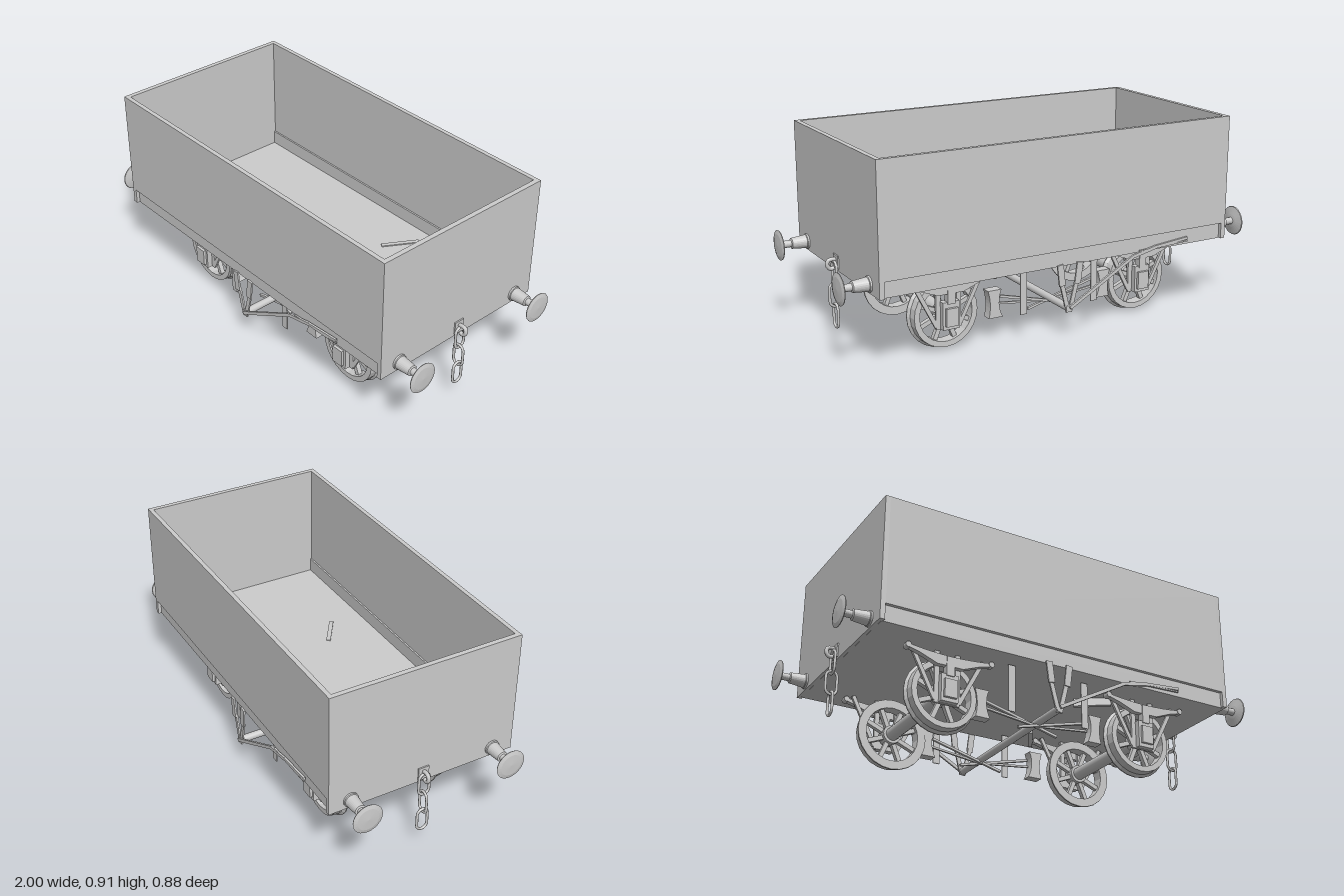
import * as THREE from 'three';

const mat = new THREE.MeshStandardMaterial({ color: 0xcccccc, side: THREE.DoubleSide });
const flat = new THREE.MeshStandardMaterial({ color: 0xcccccc, flatShading: true, side: THREE.DoubleSide });

function add(parent, name, geo, x = 0, y = 0, z = 0, m = mat) {
  const mesh = new THREE.Mesh(geo, m);
  mesh.name = name;
  mesh.position.set(x, y, z);
  parent.add(mesh);
  return mesh;
}
const box = (p, name, w, h, d, x, y, z) => add(p, name, new THREE.BoxGeometry(w, h, d), x, y, z);

// Flat bar between two points of an upright plane at depth z
function bar(p, name, [x1, y1], [x2, y2], w, d, z) {
  const b = box(p, name, Math.hypot(x2 - x1, y2 - y1), w, d, (x1 + x2) / 2, (y1 + y2) / 2, z);
  b.rotation.z = Math.atan2(y2 - y1, x2 - x1);
  return b;
}

// Plate cut from an outline, centred on depth z
function plate(p, name, shape, depth, x, y, z) {
  const geo = new THREE.ExtrudeGeometry(shape, { depth, bevelEnabled: false, curveSegments: 8 });
  geo.translate(0, 0, -depth / 2);
  return add(p, name, geo, x, y, z);
}

function group(parent, name) {
  const g = new THREE.Group();
  g.name = name;
  parent.add(g);
  return g;
}

// Open box body with recessed solebars
function buildBody(root) {
  const body = group(root, 'body');
  box(body, 'floor', 1.69, 0.008, 0.84, 0, 0.341, 0);
  for (const s of [-1, 1]) {
    box(body, 'endWall', 0.022, 0.567, 0.88, s * 0.849, 0.6215, 0);
    box(body, 'sideWall', 1.676, 0.495, 0.02, 0, 0.6575, s * 0.43);
    box(body, 'solebar', 1.676, 0.073, 0.012, 0, 0.3735, s * 0.418);
  }
  // Angled blocks in the floor
  box(body, 'floorBlock', 0.175, 0.048, 0.02, 0.245, 0.326, -0.265).rotation.y = 1.04;
  box(body, 'floorBlock', 0.165, 0.048, 0.02, 0.28, 0.326, 0.212).rotation.y = -0.6;
}

// Buffer, pointing along +x
function buildBuffer(parent, z) {
  const profile = [[0, 0.85], [0.034, 0.85], [0.034, 0.868], [0.03, 0.87], [0.024, 0.935], [0.016, 0.938],
    [0.016, 0.978], [0.03, 0.98], [0.066, 0.988], [0.068, 0.992], [0.05, 0.997], [0, 1]];
  const geo = new THREE.LatheGeometry(profile.map(([r, y]) => new THREE.Vector2(r, y)), 24);
  geo.rotateZ(-Math.PI / 2);
  add(parent, 'buffer', geo, 0, 0.378, z, flat);
}

// Oval chain link in the yz plane
function linkGeometry() {
  class Oval extends THREE.Curve {
    getPoint(t, v = new THREE.Vector3()) {
      const a = t * Math.PI * 2, r = 0.025;
      return v.set(0, r * Math.sin(a) + 0.028 * Math.sign(Math.round(Math.sin(a) * 1e6)), r * Math.cos(a));
    }
  }
  return new THREE.TubeGeometry(new Oval(), 32, 0.006, 8, true);
}

// Draw hook and three hanging links
function buildCoupling(parent) {
  const c = group(parent, 'coupling');
  const pts = [[0.855, 0.385], [0.875, 0.39], [0.897, 0.387], [0.903, 0.368], [0.89, 0.35], [0.873, 0.352]];
  const hook = new THREE.CatmullRomCurve3(pts.map(([x, y]) => new THREE.Vector3(x, y, 0)));
  add(c, 'hook', new THREE.TubeGeometry(hook, 20, 0.009, 8));
  box(c, 'hookPlate', 0.008, 0.06, 0.05, 0.862, 0.378, 0);
  const geo = linkGeometry();
  [0.327, 0.233, 0.139].forEach((y, i) => {
    add(c, 'chainLink', geo, 0.872, y, 0).rotation.y = i === 1 ? Math.PI / 2 : 0;
  });
}

// Spoked wheel with flange on the inner side; z is its side of the wagon
function buildWheel(parent, x, s) {
  const w = group(parent, 'wheel');
  const profile = [[0.124, 0.222], [0.162, 0.222], [0.163, 0.228], [0.152, 0.24], [0.149, 0.275],
    [0.124, 0.275], [0.124, 0.222]];
  const rim = new THREE.LatheGeometry(profile.map(([r, y]) => new THREE.Vector2(r, y)), 24);
  rim.rotateX(Math.PI / 2);
  add(w, 'rim', rim, 0, 0, 0, flat);
  add(w, 'hub', new THREE.CylinderGeometry(0.042, 0.042, 0.056, 16).rotateX(Math.PI / 2), 0, 0, 0.249);
  for (let i = 0; i < 8; i++) {
    const a = (i + 0.5) * Math.PI / 4;
    bar(w, 'spoke', [0.035 * Math.cos(a), 0.035 * Math.sin(a)],
      [0.128 * Math.cos(a), 0.128 * Math.sin(a)], 0.02, 0.022, 0.249);
  }
  w.position.set(x, 0.163, 0);
  if (s < 0) w.rotation.y = Math.PI;
}

// Axle guard, axle box and leaf spring
function buildSuspension(parent, x, s) {
  const g = group(parent, 'suspension');
  g.position.x = x;
  for (const m of [-1, 1]) {
    bar(g, 'guardPost', [m * 0.048, 0.108], [m * 0.048, 0.34], 0.022, 0.012, s * 0.292);
    bar(g, 'guardStay', [m * 0.055, 0.12], [m * 0.165, 0.335], 0.018, 0.012, s * 0.292);
    add(g, 'springShoe', new THREE.CylinderGeometry(0.013, 0.013, 0.03, 12).rotateX(Math.PI / 2), m * 0.192, 0.32, s * 0.312);
  }
  box(g, 'guardTie', 0.118, 0.014, 0.012, 0, 0.114, s * 0.292);
  box(g, 'axleBox', 0.078, 0.122, 0.034, 0, 0.17, s * 0.306);
  box(g, 'axleBoxCover', 0.056, 0.08, 0.016, 0, 0.165, s * 0.328);
  box(g, 'springBuckle', 0.036, 0.085, 0.032, 0, 0.265, s * 0.312);
  const leaf = new THREE.Shape();
  leaf.moveTo(-0.195, 0.326);
  leaf.quadraticCurveTo(0, 0.296, 0.195, 0.326);
  leaf.lineTo(0.195, 0.312);
  leaf.lineTo(0.14, 0.298);
  leaf.lineTo(0.06, 0.267);
  leaf.lineTo(-0.06, 0.267);
  leaf.lineTo(-0.14, 0.298);
  leaf.lineTo(-0.195, 0.312);
  plate(g, 'leafSpring', leaf, 0.024, 0, 0, s * 0.312);
}

// Brake shoes, push rods, V hanger and hand lever for one side
function buildBrakes(parent, s) {
  const g = group(parent, 'brakeGear');
  const cx = -0.03;
  for (const m of [-1, 1]) {
    const shoe = new THREE.Shape();
    shoe.moveTo(-0.032, -0.063);
    shoe.lineTo(0.036, -0.063);
    shoe.quadraticCurveTo(0.004, 0, 0.03, 0.063);
    shoe.lineTo(-0.036, 0.063);
    shoe.quadraticCurveTo(-0.016, 0, -0.032, -0.063);
    const mesh = plate(g, 'brakeShoe', shoe, 0.045, cx + m * 0.278, 0.162, s * 0.25);
    if (m > 0) mesh.rotation.y = Math.PI;
    bar(g, 'pushRod', [cx + m * 0.25, 0.19], [cx - m * 0.1, 0.1], 0.011, 0.012, s * (0.25 + m * 0.008));
    bar(g, 'pullRod', [cx + m * 0.25, 0.155], [cx, 0.125], 0.009, 0.01, s * 0.25);
    bar(g, 'vHanger', [cx + m * 0.05, 0.345], [cx + m * 0.038, 0.25], 0.03, 0.008, s * 0.43);
    bar(g, 'vHanger', [cx + m * 0.038, 0.26], [cx + m * 0.004, 0.125], 0.02, 0.008, s * 0.424);
    box(g, 'safetyHanger', 0.032, 0.21, 0.005, cx + m * 0.18, 0.225, s * 0.343);
  }
  // Lever runs towards +x on the front and -x on the back
  bar(g, 'handLever', [cx, 0.145], [cx + s * 0.33, 0.328], 0.015, 0.01, s * 0.434);
  bar(g, 'handLever', [cx + s * 0.325, 0.326], [cx + s * 0.45, 0.352], 0.015, 0.01, s * 0.434);
  bar(g, 'leverGrip', [cx + s * 0.44, 0.352], [cx + s * 0.62, 0.368], 0.012, 0.01, s * 0.434);
  bar(g, 'leverGuide', [cx + s * 0.36, 0.345], [cx + s * 0.62, 0.355], 0.006, 0.008, s * 0.434);
}

export function createModel() {
  const root = new THREE.Group();
  root.name = 'openWagon';
  buildBody(root);

  // Both ends, turned half round
  for (const turn of [0, Math.PI]) {
    const end = group(root, 'endFittings');
    for (const s of [-1, 1]) buildBuffer(end, s * 0.34);
    buildCoupling(end);
    end.rotation.y = turn;
  }

  // Running gear
  for (const x of [-0.487, 0.487]) {
    add(root, 'axle', new THREE.CylinderGeometry(0.03, 0.03, 0.5, 16).rotateX(Math.PI / 2), x, 0.163, 0);
    for (const s of [-1, 1]) {
      buildWheel(root, x, s);
      buildSuspension(root, x, s);
    }
  }

  // Brake gear and its cross shaft
  for (const s of [-1, 1]) buildBrakes(root, s);
  add(root, 'brakeShaft', new THREE.CylinderGeometry(0.017, 0.017, 0.86, 16).rotateX(Math.PI / 2), -0.03, 0.142, 0);
  return root;
}
